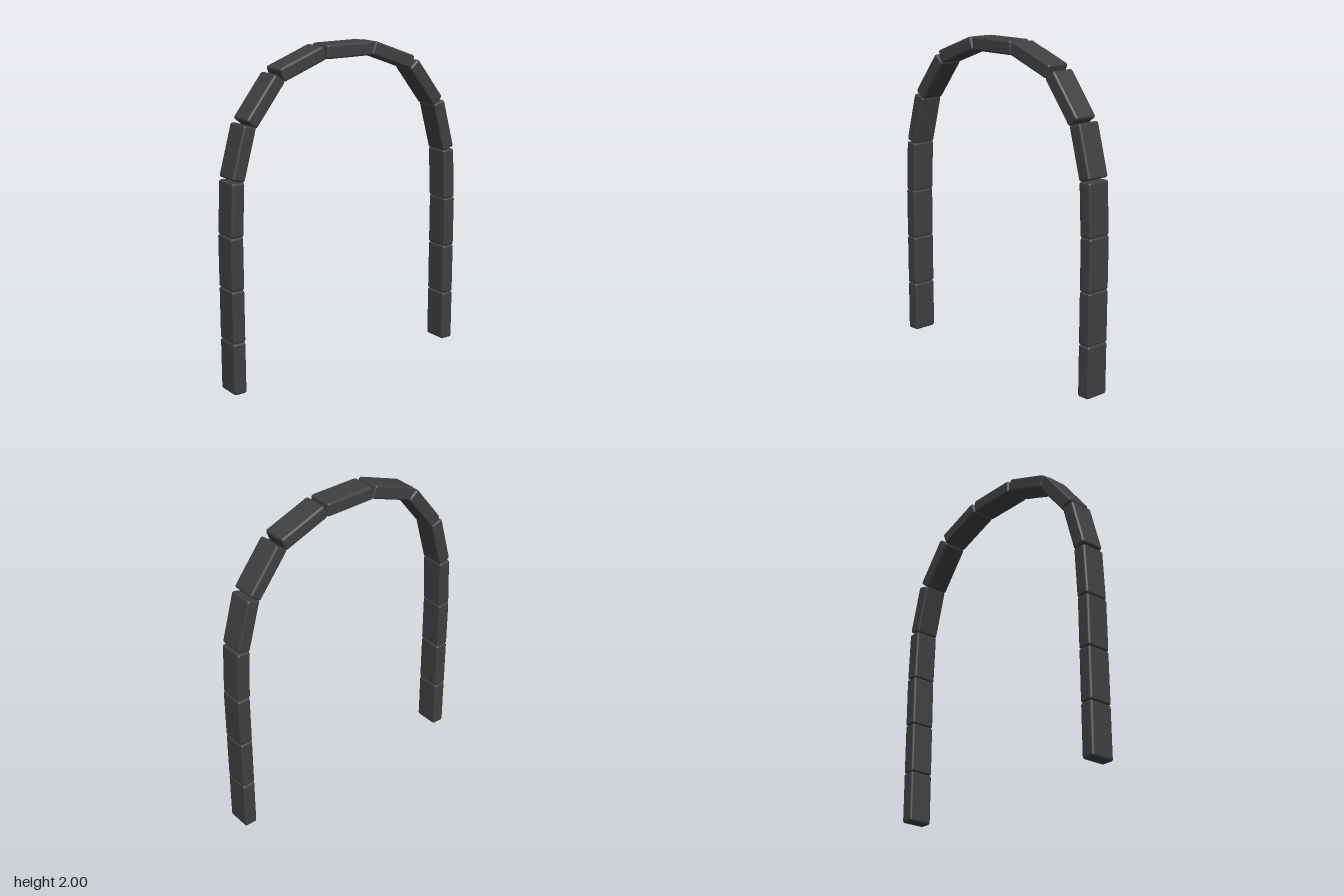
import * as THREE from 'three';
import { RoundedBoxGeometry } from 'three/addons/geometries/RoundedBoxGeometry.js';

export function createModel() {
  const group = new THREE.Group();
  group.name = 'archway';

  const stone = new THREE.MeshStandardMaterial({ color: 0x404040 });
  stone.name = 'dark stone';

  // One bevelled block, its length along y
  const length = 0.318, thickness = 0.084, depth = 0.156;
  const block = new RoundedBoxGeometry(thickness, length, depth, 2, 0.014);

  function addBlock(name, x, y, lean) {
    const mesh = new THREE.Mesh(block, stone);
    mesh.name = name;
    mesh.position.set(x, y, 0);
    mesh.rotation.z = THREE.MathUtils.degToRad(lean);
    group.add(mesh);
    return mesh;
  }

  // Curved part on the left: x, y, lean towards the middle in degrees
  const curve = [
    [0.78, 1.112, 2.6],
    [0.73, 1.43, 15.4],
    [0.581, 1.714, 38],
    [0.324, 1.904, 69.7],
  ];

  for (const side of [1, -1]) {
    const label = side > 0 ? 'left' : 'right';
    // Upright leg of three stacked blocks
    for (let i = 0; i < 3; i++) {
      addBlock(`${label}LegBlock${i + 1}`, side * 0.789, length * (i + 0.5), 0);
    }
    // Blocks leaning in towards the crown
    curve.forEach(([x, y, lean], i) => {
      addBlock(`${label}ArchBlock${i + 1}`, side * x, y, side * lean);
    });
  }

  // Level block at the crown
  const crown = addBlock('crownBlock', 0, 2 - thickness / 2, 90);
  crown.scale.y = 1.03;

  return group;
}
